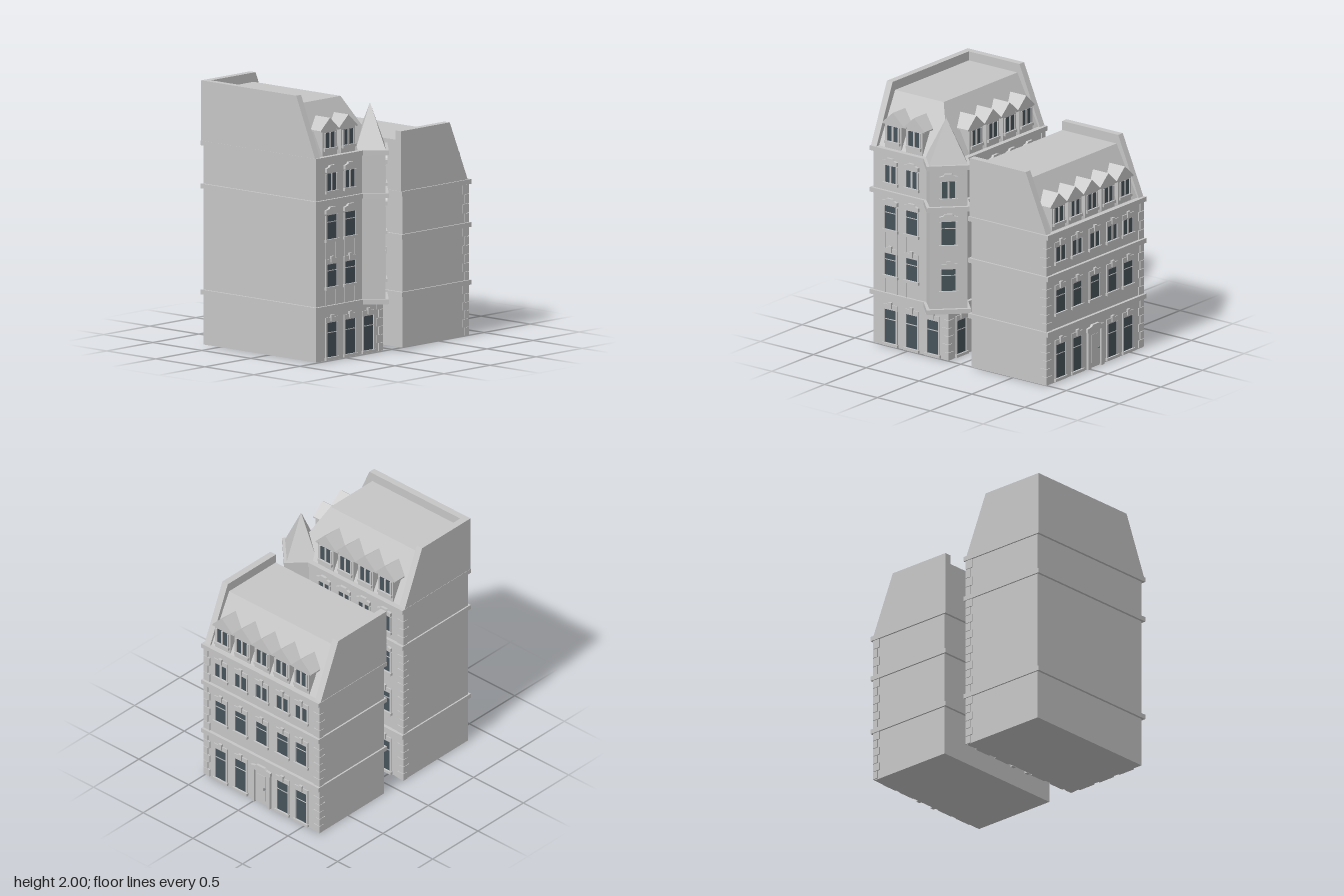
import * as THREE from 'three';
import { ConvexGeometry } from 'three/addons/geometries/ConvexGeometry.js';

const stone = new THREE.MeshStandardMaterial({ color: 0xc6c6c6 });
stone.name = 'stone';
const glass = new THREE.MeshStandardMaterial({ color: 0x46535a });
glass.name = 'window glass';
const metal = new THREE.MeshStandardMaterial({ color: 0x777d80 });
metal.name = 'door metal';

function add(parent, name, geo, mat = stone) {
  const m = new THREE.Mesh(geo, mat);
  m.name = name;
  parent.add(m);
  return m;
}

// Box given by its limits
function box(parent, name, x0, x1, y0, y1, z0, z1, mat) {
  const g = new THREE.BoxGeometry(x1 - x0, y1 - y0, z1 - z0);
  g.translate((x0 + x1) / 2, (y0 + y1) / 2, (z0 + z1) / 2);
  return add(parent, name, g, mat);
}

const shapeOf = (pts) => new THREE.Shape(pts.map(([a, b]) => new THREE.Vector2(a, b)));
const extrude = (pts, depth) => new THREE.ExtrudeGeometry(shapeOf(pts), { depth, bevelEnabled: false });

// Upright prism over an (x, z) footprint
function prism(parent, name, pts, y0, y1) {
  const g = extrude(pts.map(([x, z]) => [x, -z]), y1 - y0);
  g.rotateX(-Math.PI / 2).translate(0, y0, 0);
  return add(parent, name, g);
}

// Profile in (x, y) extruded between two z positions
function slabZ(parent, name, pts, z0, z1) {
  return add(parent, name, extrude(pts, z1 - z0).translate(0, 0, z0));
}

// Profile in (z, y) extruded between two x positions
function slabX(parent, name, pts, x0, x1) {
  const g = extrude(pts.map(([z, y]) => [-z, y]), x1 - x0);
  return add(parent, name, g.rotateY(Math.PI / 2).translate(x0, 0, 0));
}

const hull = (parent, name, pts) =>
  add(parent, name, new ConvexGeometry(pts.map((p) => new THREE.Vector3(...p))));

const rect = (x0, x1, z0, z1) => [[x0, z1], [x1, z1], [x1, z0], [x0, z0]];

// Local frame of a wall: x along the wall, z outward
function facade(parent, name, x, z, angle) {
  const g = new THREE.Group();
  g.name = name;
  g.position.set(x, 0, z);
  g.rotation.y = angle;
  parent.add(g);
  return g;
}

// Curved-shouldered window head
function hood(parent, u, y, w) {
  const h = w / 2;
  const pts = [[-h, 0], [h, 0], [h, 0.03], [h * 0.55, 0.038], [h * 0.4, 0.052],
    [-h * 0.4, 0.052], [-h * 0.55, 0.038], [-h, 0.03]].map(([a, b]) => [a + u, b + y]);
  slabZ(parent, 'windowHood', pts, -0.005, 0.02);
}

// Glazed window; y0..y1 is the glass
function windowUnit(parent, u, y0, y1, { w = 0.105, panes = 1, head = 'key', trim = true } = {}) {
  const h = w / 2, f = 0.014;
  box(parent, 'windowGlass', u - h, u + h, y0, y1, -0.004, 0.003, glass);
  if (panes === 2) box(parent, 'mullion', u - 0.008, u + 0.008, y0, y1, 0, 0.008);
  else box(parent, 'transom', u - h, u + h, y0 + (y1 - y0) * 0.7, y0 + (y1 - y0) * 0.7 + 0.006, 0, 0.006);
  for (const s of [-1, 1]) {
    const c = u + s * (h + f / 2);
    box(parent, 'windowJamb', c - f / 2, c + f / 2, y0, y1, -0.005, 0.009);
  }
  box(parent, 'windowSill', u - h - 0.02, u + h + 0.02, y0 - 0.022, y0, -0.005, 0.018);
  if (!trim) return;
  if (head === 'hood') hood(parent, u, y1 + 0.012, w + 0.036);
  else {
    box(parent, 'lintel', u - h - f, u + h + f, y1, y1 + 0.04, -0.005, 0.008);
    box(parent, 'keystone', u - 0.015, u + 0.015, y1 + 0.012, y1 + 0.06, -0.005, 0.018);
  }
}

// Gabled dormer reaching back into the roof slope
function dormer(parent, u, y0, eave, ridge) {
  const d = new THREE.Group();
  d.name = 'dormer';
  d.position.x = u;
  parent.add(d);
  box(d, 'dormerBody', -0.077, 0.077, y0, eave + 0.02, -0.14, 0);
  slabZ(d, 'dormerRoof', [[-0.1, eave - 0.01], [-0.075, eave - 0.01], [-0.075, eave],
    [0.075, eave], [0.075, eave - 0.01], [0.1, eave - 0.01], [0.1, eave], [0, ridge], [-0.1, eave]], -0.15, 0.003);
  windowUnit(d, 0, eave - 0.135, eave - 0.02, { w: 0.1, panes: 2, trim: false });
}

// Alternating corner stones; sx, sz point outward from the corner
function quoins(parent, x, z, sx, sz, y0, y1) {
  const n = Math.round((y1 - y0) / 0.066), step = (y1 - y0) / n, out = 0.008;
  for (let i = 0; i < n; i++) {
    const a = i % 2 ? 0.055 : 0.035, b = i % 2 ? 0.035 : 0.055;
    const xs = [x + sx * out, x - sx * a].sort((p, q) => p - q);
    const zs = [z + sz * out, z - sz * b].sort((p, q) => p - q);
    box(parent, 'quoin', xs[0], xs[1], y0 + i * step + 0.002, y0 + (i + 1) * step - 0.002, zs[0], zs[1]);
  }
}

function door(parent, u) {
  box(parent, 'doorLeaf', u - 0.06, u + 0.06, 0.01, 0.29, -0.005, 0.006);
  box(parent, 'doorPanel', u - 0.04, u + 0.04, 0.04, 0.26, 0, 0.009);
  for (const s of [-1, 1]) {
    const c = u + s * 0.078;
    box(parent, 'doorJamb', c - 0.017, c + 0.017, 0, 0.29, -0.005, 0.02);
  }
  hood(parent, u, 0.29, 0.2);
  add(parent, 'doorKnob', new THREE.SphereGeometry(0.01, 10, 8).translate(u + 0.035, 0.15, 0.014), metal);
}

function cornerHouse() {
  const g = new THREE.Group();
  g.name = 'cornerHouse';
  // Walls, with the angled bay starting above the ground floor
  prism(g, 'groundFloor', rect(-0.825, -0.115, -0.645, 0.5), 0.005, 0.4);
  prism(g, 'upperFloors', [[-0.825, 0.5], [-0.325, 0.5], [-0.2, 0.62], [0, 0.42],
    [-0.115, 0.305], [-0.115, -0.645], [-0.825, -0.645]], 0.4, 1.53);
  const ledge = [[-0.845, 0.52], [-0.335, 0.52], [-0.2, 0.655], [0.035, 0.42],
    [-0.09, 0.295], [-0.09, -0.657], [-0.845, -0.657]];
  for (const y of [0.385, 1.185, 1.51]) prism(g, 'cornice', ledge, y, y + 0.036);
  quoins(g, -0.115, 0.5, 1, 1, 0.005, 0.385);
  for (const [a, b] of [[0.005, 0.385], [0.421, 1.185], [1.221, 1.51]]) quoins(g, -0.115, -0.645, 1, -1, a, b);

  // Mansard roof between two raised party walls
  const pts = [];
  for (const z of [-0.61, 0.48]) for (const x of [-0.8, -0.13]) pts.push([x, 1.54, z]);
  for (const z of [-0.61, 0.285]) for (const x of [-0.8, -0.33]) pts.push([x, 1.93, z]);
  hull(g, 'mansardRoof', pts);
  slabX(g, 'sidePartyWall', [[-0.65, 1.54], [0.51, 1.54], [0.315, 2], [-0.65, 2]], -0.843, -0.79);
  slabZ(g, 'backPartyWall', [[-0.843, 1.54], [-0.115, 1.54], [-0.31, 2], [-0.843, 2]], -0.655, -0.6);
  // Bay spire
  hull(g, 'baySpire', [[-0.2, 1.545, 0.625], [0.005, 1.545, 0.42], [-0.155, 1.545, 0.26],
    [-0.36, 1.545, 0.465], [-0.18, 1.88, 0.445]]);

  // Upper floors of one window column
  const column = (wall, u, second = 0.56) => {
    windowUnit(wall, u, second, 0.73);
    windowUnit(wall, u, 0.92, 1.1, { head: 'hood' });
    windowUnit(wall, u, 1.285, 1.415, { w: 0.1, panes: 2, head: 'hood' });
  };
  const front = facade(g, 'frontFacade', 0, 0.5, 0);
  for (const x of [-0.66, -0.46, -0.26]) windowUnit(front, x, 0.03, 0.29);
  for (const x of [-0.66, -0.46]) {
    column(front, x);
    for (const s of [-1, 1]) {
      const c = x + s * 0.055;
      box(front, 'apronStrip', c - 0.008, c + 0.008, 0.74, 0.9, -0.005, 0.005);
      box(front, 'apronStrip', c - 0.008, c + 0.008, 0.42, 0.54, -0.005, 0.005);
    }
  }
  column(facade(g, 'bayFacade', -0.1, 0.52, Math.PI / 4), 0);
  const side = facade(g, 'sideFacade', -0.115, 0, Math.PI / 2);
  for (const z of [0.35, 0.15, -0.25, -0.46]) windowUnit(side, -z, 0.03, 0.29);
  door(side, 0.05);
  for (const z of [0.15, -0.05, -0.25, -0.46]) column(side, -z);

  const frontRoof = facade(g, 'frontDormers', 0, 0.48, 0);
  for (const x of [-0.655, -0.455]) dormer(frontRoof, x, 1.545, 1.74, 1.83);
  const sideRoof = facade(g, 'sideDormers', -0.13, 0, Math.PI / 2);
  for (let i = 0; i < 4; i++) dormer(sideRoof, -0.15 + i * 0.2, 1.545, 1.74, 1.83);
  return g;
}

function rowHouse() {
  const g = new THREE.Group();
  g.name = 'rowHouse';
  prism(g, 'walls', rect(0.107, 0.815, -0.65, 0.505), 0, 1.17);
  for (const y of [0.385, 0.82, 1.145]) prism(g, 'cornice', rect(0.087, 0.84, -0.663, 0.52), y, y + 0.036);
  for (const [a, b] of [[0.005, 0.385], [0.421, 0.82], [0.856, 1.145]])
    for (const [z, s] of [[0.505, 1], [-0.65, -1]]) quoins(g, 0.815, z, 1, s, a, b);

  // Single-slope mansard between raised end walls
  slabZ(g, 'mansardRoof', [[0.092, 1.18], [0.8, 1.18], [0.605, 1.565], [0.092, 1.565]], -0.61, 0.46);
  for (const [a, b] of [[0.452, 0.507], [-0.66, -0.605]])
    slabZ(g, 'endPartyWall', [[0.09, 1.18], [0.815, 1.18], [0.62, 1.635], [0.09, 1.635]], a, b);

  const side = facade(g, 'sideFacade', 0.815, 0, Math.PI / 2);
  for (const z of [0.34, 0.14, -0.07, -0.28, -0.47]) {
    if (z === -0.07) door(side, -z);
    else windowUnit(side, -z, 0.03, 0.29);
    windowUnit(side, -z, 0.54, 0.72);
    windowUnit(side, -z, 0.94, 1.055, { w: 0.11, panes: 2 });
  }
  const roof = facade(g, 'sideDormers', 0.8, 0, Math.PI / 2);
  for (let i = 0; i < 5; i++) dormer(roof, -0.34 + i * 0.1985, 1.185, 1.375, 1.465);
  return g;
}

export function createModel() {
  const model = new THREE.Group();
  model.name = 'townHouses';
  model.add(cornerHouse(), rowHouse());
  return model;
}
